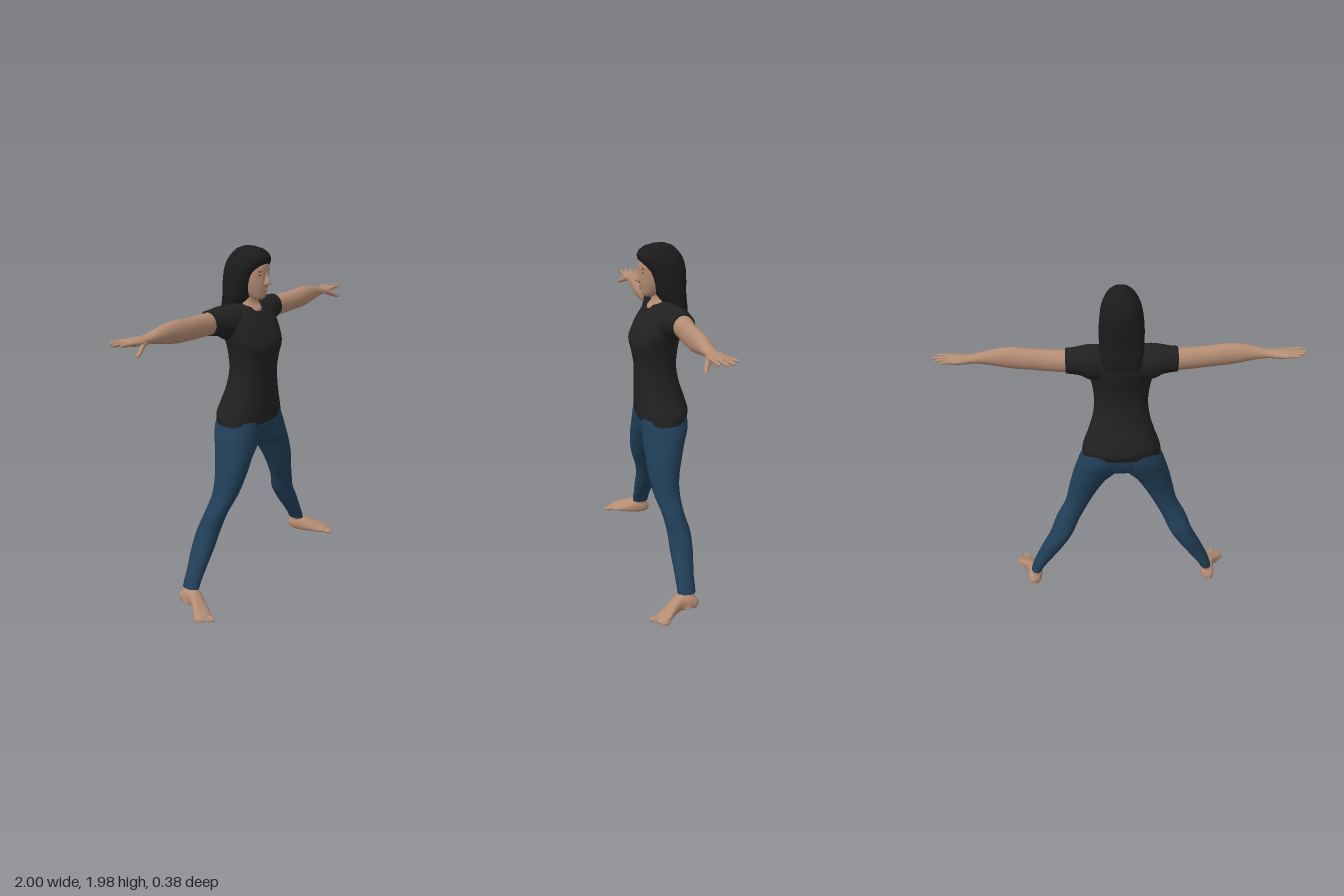
import * as THREE from 'three';

const mat = (name, color) => Object.assign(new THREE.MeshStandardMaterial({ color }), { name });

// Cross-section loft. Rows are [t, a0, a1, b0, b1] with t rising along the axis:
// axis x: a = y, b = z;  axis y: a = z, b = x;  axis z: a = x, b = y.
function loft(axis, rows, n = 2, seg = 32, sub = 5) {
  const rings = [];
  const at = i => rows[Math.max(0, Math.min(rows.length - 1, i))];
  for (let i = 0; i < rows.length - 1; i++)
    for (let s = 0; s < sub; s++) {
      const u = s / sub, p = at(i - 1), q = at(i), r = at(i + 1), w = at(i + 2);
      rings.push(q.map((_, k) => k === 0 ? q[0] + (r[0] - q[0]) * u : 0.5 * (2 * q[k] + (r[k] - p[k]) * u
        + (2 * p[k] - 5 * q[k] + 4 * r[k] - w[k]) * u * u + (3 * q[k] - p[k] - 3 * r[k] + w[k]) * u ** 3)));
    }
  rings.push(rows[rows.length - 1]);
  const pos = [], idx = [];
  const put = (t, a, b) => pos.push(...(axis === 'x' ? [t, a, b] : axis === 'y' ? [b, t, a] : [a, b, t]));
  const pw = v => Math.sign(v) * Math.abs(v) ** (2 / n);
  const ring = ([t, a0, a1, b0, b1]) => {
    for (let j = 0; j < seg; j++) {
      const th = j / seg * Math.PI * 2;
      put(t, (a0 + a1) / 2 + (a1 - a0) / 2 * pw(Math.cos(th)), (b0 + b1) / 2 + (b1 - b0) / 2 * pw(Math.sin(th)));
    }
  };
  rings.forEach(ring);
  for (let i = 0; i < rings.length - 1; i++)
    for (let j = 0; j < seg; j++) {
      const k = (j + 1) % seg, a = i * seg + j, b = i * seg + k, c = a + seg, d = b + seg;
      idx.push(a, b, c, b, d, c);
    }
  // end caps with their own vertices
  for (const end of [0, 1]) {
    const r = rings[end ? rings.length - 1 : 0], base = pos.length / 3;
    ring(r);
    put(r[0], (r[1] + r[2]) / 2, (r[3] + r[4]) / 2);
    for (let j = 0; j < seg; j++) {
      const k = (j + 1) % seg;
      idx.push(base + seg, base + (end ? j : k), base + (end ? k : j));
    }
  }
  const g = new THREE.BufferGeometry();
  g.setAttribute('position', new THREE.Float32BufferAttribute(pos, 3));
  g.setIndex(idx);
  g.computeVertexNormals();
  return g;
}

// Symmetric rows for parts on the centre line: [y, back, front, half width]
const body = (rows, n) => loft('y', rows.map(([y, z0, z1, x]) => [y, z0, z1, -x, x]), n);

function blob(x, y, z, rx, ry, rz, turn = 0) {
  return new THREE.SphereGeometry(1, 20, 14).scale(rx, ry, rz).rotateY(turn).translate(x, y, z);
}

function mirrored(geo) {
  const g = geo.clone().scale(-1, 1, 1), id = g.index.array;
  for (let i = 0; i < id.length; i += 3) [id[i], id[i + 1]] = [id[i + 1], id[i]];
  g.computeVertexNormals();
  return g;
}

export function createModel() {
  const model = new THREE.Group();
  const skin = mat('skin', 0xb58d74), shirt = mat('shirt black', 0x212121), hair = mat('hair black', 0x1b1b1c);
  const denim = mat('denim blue', 0x213f58), lip = mat('lip', 0x9c705c), dark = mat('eye dark', 0x33271f);
  const add = (name, geo, m) => {
    const mesh = new THREE.Mesh(geo, m);
    mesh.name = name;
    model.add(mesh);
  };
  const pair = (name, geo, m) => {
    add('left ' + name, geo, m);
    add('right ' + name, mirrored(geo), m);
  };

  // Shirt
  add('shirt body', body([
    [0.995, -0.178, 0.1, 0.228], [1.04, -0.19, 0.104, 0.222], [1.1, -0.175, 0.105, 0.198],
    [1.2, -0.143, 0.105, 0.166], [1.3, -0.125, 0.107, 0.152], [1.39, -0.13, 0.122, 0.158],
    [1.45, -0.14, 0.134, 0.17], [1.51, -0.156, 0.112, 0.185], [1.57, -0.165, 0.077, 0.195],
    [1.62, -0.155, 0.042, 0.185], [1.655, -0.135, 0.012, 0.15], [1.678, -0.11, -0.03, 0.11]], 2.35), shirt);
  pair('sleeve', loft('x', [
    [0.1, 1.48, 1.672, -0.15, 0.03], [0.17, 1.485, 1.678, -0.16, 0.02], [0.22, 1.515, 1.675, -0.158, 0],
    [0.26, 1.525, 1.67, -0.153, -0.015], [0.298, 1.53, 1.668, -0.15, -0.022]]), shirt);

  // Trousers
  add('hips', body([
    [0.865, -0.09, 0.05, 0.05], [0.89, -0.135, 0.08, 0.15], [0.93, -0.16, 0.092, 0.22],
    [1.0, -0.176, 0.094, 0.222], [1.04, -0.17, 0.09, 0.2]], 2.3), denim);
  pair('trouser leg', loft('y', [
    [0.1, -0.105, 0, 0.508, 0.577], [0.2, -0.107, 0.003, 0.438, 0.54], [0.3, -0.12, 0.01, 0.365, 0.492],
    [0.4, -0.12, 0.013, 0.302, 0.44], [0.5, -0.095, 0.032, 0.255, 0.4], [0.6, -0.085, 0.065, 0.2, 0.343],
    [0.7, -0.092, 0.085, 0.142, 0.317], [0.8, -0.118, 0.092, 0.08, 0.293], [0.87, -0.143, 0.094, 0.012, 0.272],
    [0.95, -0.17, 0.094, -0.02, 0.245], [1.02, -0.172, 0.09, -0.02, 0.215]], 2.15), denim);

  // Arms and hands
  pair('arm', loft('x', [
    [0.2, 1.54, 1.655, -0.145, -0.035], [0.3, 1.537, 1.658, -0.14, -0.03], [0.4, 1.54, 1.66, -0.125, -0.028],
    [0.5, 1.547, 1.665, -0.115, -0.02], [0.58, 1.552, 1.671, -0.108, -0.02], [0.66, 1.567, 1.665, -0.104, -0.025],
    [0.74, 1.583, 1.647, -0.1, -0.032], [0.79, 1.59, 1.636, -0.104, -0.036], [0.83, 1.591, 1.635, -0.118, -0.03],
    [0.88, 1.597, 1.634, -0.131, -0.028], [0.91, 1.606, 1.632, -0.131, -0.03], [0.918, 1.612, 1.628, -0.125, -0.035]]), skin);
  [[-0.136, 0.953], [-0.107, 0.987], [-0.075, 1], [-0.04, 0.982]].forEach(([z, tip], i) => {
    const z0 = -0.118 + i * 0.026, mid = (z0 + z) / 2;
    pair('finger ' + (i + 1), loft('x', [
      [0.88, 1.61, 1.629, z0 - 0.012, z0 + 0.012], [(0.88 + tip) / 2, 1.612, 1.631, mid - 0.011, mid + 0.011],
      [tip - 0.012, 1.617, 1.631, z - 0.009, z + 0.009], [tip, 1.623, 1.627, z - 0.003, z + 0.003]], 2, 12, 3), skin);
  });
  pair('thumb', loft('x', [
    [0.8, 1.595, 1.622, -0.06, -0.035], [0.84, 1.583, 1.615, -0.052, -0.02], [0.88, 1.567, 1.592, -0.027, -0.003],
    [0.905, 1.56, 1.578, -0.014, 0.004], [0.915, 1.563, 1.569, -0.007, -0.001]], 2, 14, 3), skin);

  // Feet
  pair('ankle', loft('y', [
    [0.03, -0.1, 0.01, 0.52, 0.605], [0.07, -0.1, 0.01, 0.518, 0.596],
    [0.11, -0.096, -0.008, 0.512, 0.572], [0.15, -0.095, -0.012, 0.49, 0.55]]), skin);
  pair('foot', loft('z', [
    [-0.116, 0.548, 0.575, 0.02, 0.05], [-0.1, 0.525, 0.594, 0.006, 0.075], [-0.06, 0.513, 0.6, 0.004, 0.1],
    [-0.01, 0.516, 0.606, 0.004, 0.105], [0.03, 0.53, 0.63, 0.004, 0.086], [0.07, 0.55, 0.665, 0.004, 0.064],
    [0.1, 0.568, 0.68, 0.003, 0.048], [0.13, 0.588, 0.678, 0.004, 0.036], [0.145, 0.605, 0.66, 0.01, 0.028]], 2.3), skin);
  for (let i = 0; i < 5; i++)
    pair('toe ' + (i + 1), blob(0.619 + i * 0.0145, 0.016, 0.157 - i * 0.013 - (i ? 0.004 : 0),
      i ? 0.0095 : 0.0155, i ? 0.012 : 0.015, 0.03, 0.25), skin);

  // Neck, head and face
  add('neck', body([
    [1.6, -0.11, 0.03, 0.06], [1.64, -0.11, 0.032, 0.078], [1.665, -0.105, 0.012, 0.074],
    [1.69, -0.1, 0.006, 0.058], [1.75, -0.1, 0.01, 0.055]]), skin);
  add('head', body([
    [1.698, -0.01, 0.052, 0.02], [1.71, -0.045, 0.064, 0.04], [1.74, -0.09, 0.071, 0.058], [1.78, -0.12, 0.077, 0.072],
    [1.82, -0.135, 0.079, 0.079], [1.86, -0.14, 0.082, 0.081], [1.9, -0.13, 0.076, 0.077], [1.94, -0.1, 0.05, 0.055]], 2.15), skin);
  add('nose', body([
    [1.772, 0.05, 0.08, 0.009], [1.784, 0.05, 0.1, 0.017], [1.795, 0.05, 0.104, 0.015],
    [1.82, 0.05, 0.094, 0.01], [1.855, 0.05, 0.083, 0.007]]), skin);
  add('upper lip', blob(0, 1.753, 0.071, 0.023, 0.005, 0.009), lip);
  add('lower lip', blob(0, 1.744, 0.069, 0.019, 0.006, 0.009), lip);
  pair('eye', blob(0.034, 1.835, 0.066, 0.013, 0.005, 0.005, 0.35), dark);
  pair('eyebrow', blob(0.035, 1.855, 0.068, 0.019, 0.003, 0.005, 0.35), dark);

  // Long hair, set back beside the face and falling behind the shoulders
  add('hair', body([
    [1.57, -0.186, -0.15, 0.082], [1.6, -0.188, -0.12, 0.1], [1.65, -0.186, -0.06, 0.114], [1.68, -0.183, -0.025, 0.118],
    [1.72, -0.18, 0, 0.12], [1.78, -0.18, 0.02, 0.12], [1.84, -0.178, 0.044, 0.115], [1.88, -0.17, 0.07, 0.108],
    [1.915, -0.155, 0.086, 0.094], [1.945, -0.132, 0.076, 0.075], [1.968, -0.105, 0.046, 0.05],
    [1.981, -0.07, 0.005, 0.02]], 2.35), hair);

  return model;
}
